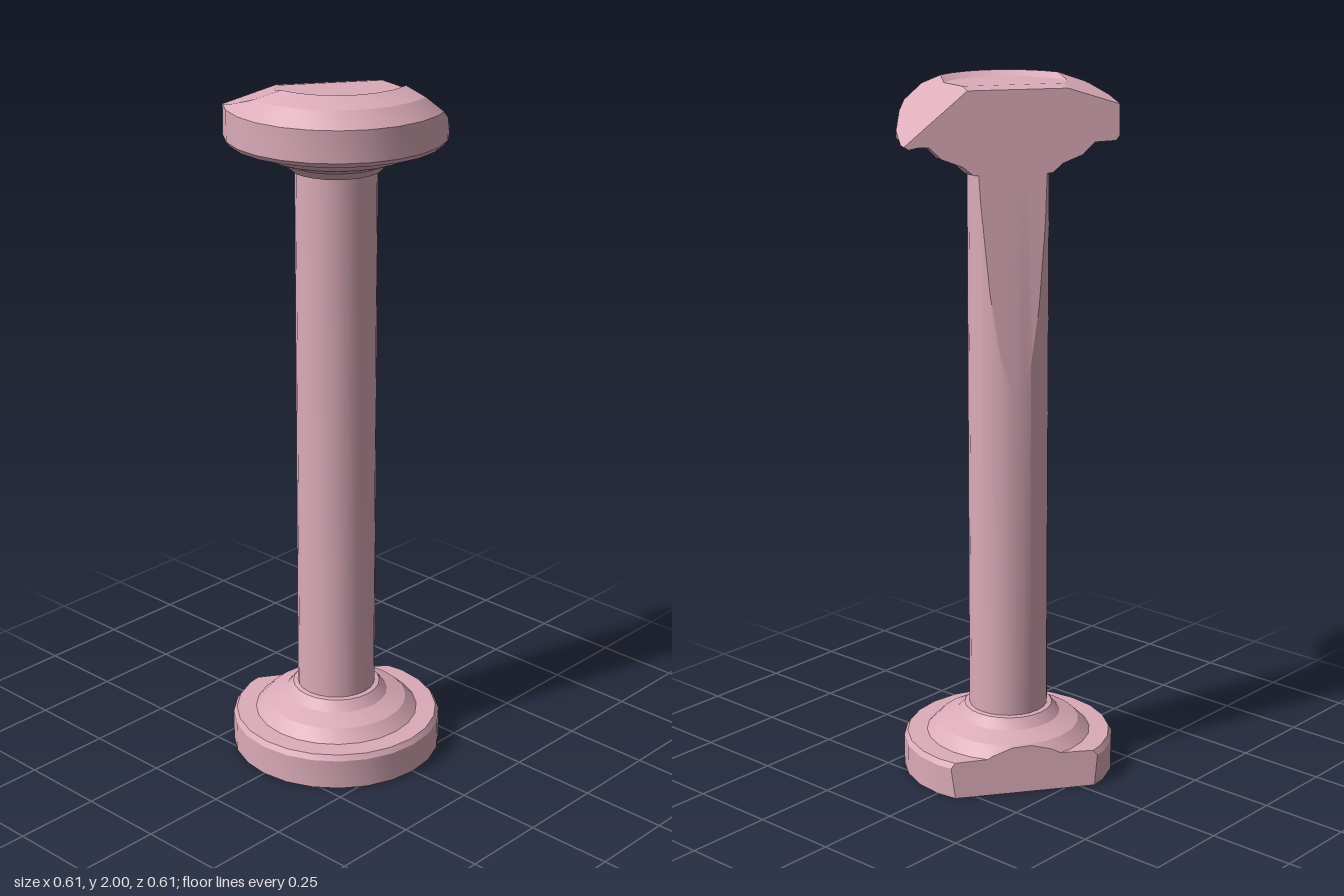
import * as THREE from 'three';
import { toCreasedNormals } from 'three/addons/utils/BufferGeometryUtils.js';

const V = (x, y, z) => new THREE.Vector3(x, y, z);
const UP = V(0, 1, 0);
const SIDE = V(-0.81, 0, -0.586).normalize(); // direction the broken side faces

// Cuts away everything in front of the plane: triangles are split along it
// and the outer pieces are pressed back onto it, which makes the cut face.
function cut(tris, plane, direction) {
  const out = [];
  const slope = plane.normal.dot(direction);
  const press = (p) => p.clone().addScaledVector(direction, -plane.distanceToPoint(p) / slope);
  for (const tri of tris) {
    const inner = [], outer = [];
    for (let i = 0; i < 3; i++) {
      const a = tri[i], b = tri[(i + 1) % 3];
      const da = plane.distanceToPoint(a), db = plane.distanceToPoint(b);
      if (da <= 0) inner.push(a);
      if (da >= 0) outer.push(press(a));
      if (da * db < 0) {
        const m = a.clone().lerp(b, da / (da - db));
        inner.push(m);
        outer.push(m);
      }
    }
    for (const poly of [inner, outer]) {
      for (let i = 1; i + 1 < poly.length; i++) {
        const t = [poly[0], poly[i], poly[i + 1]];
        if (new THREE.Triangle(...t).getArea() > 1e-8) out.push(t);
      }
    }
  }
  return out;
}

// Turned part with 24 sides, then broken by a list of cuts
function turned(name, profile, cuts, material) {
  const points = profile.map(([r, y]) => new THREE.Vector2(r, y));
  const p = new THREE.LatheGeometry(points, 24).toNonIndexed().attributes.position;
  let tris = [];
  for (let i = 0; i < p.count; i += 3) {
    const t = [0, 1, 2].map((k) => new THREE.Vector3().fromBufferAttribute(p, i + k));
    if (new THREE.Triangle(...t).getArea() > 1e-8) tris.push(t);
  }
  for (const [plane, direction] of cuts) tris = cut(tris, plane, direction);
  const geometry = new THREE.BufferGeometry().setFromPoints(tris.flat());
  const mesh = new THREE.Mesh(toCreasedNormals(geometry, 0.3), material);
  mesh.name = name;
  return mesh;
}

// Chip off the top, through three points
function chip(a, b, c) {
  const plane = new THREE.Plane().setFromCoplanarPoints(a, b, c);
  if (plane.normal.y < 0) plane.negate();
  return [plane, UP];
}

// Steep break on the side: offset d at height y, leaning inwards by lean per unit
function sideBreak(d, y, lean) {
  const normal = SIDE.clone().addScaledVector(UP, lean).normalize();
  const point = SIDE.clone().multiplyScalar(d).setY(y);
  return [new THREE.Plane().setFromNormalAndCoplanarPoint(normal, point), SIDE];
}

export function createModel() {
  const group = new THREE.Group();
  group.name = 'brokenColumn';
  const stone = new THREE.MeshStandardMaterial({ color: 0xdbabb9 });

  const baseBreak = sideBreak(0.224, 0, 0.12);
  const upperBreak = sideBreak(0.115, 1.12, 0.088);
  const chips = [
    chip(V(0.2, 2, -0.055), V(0.28, 1.93, -0.12), V(0.13, 1.84, -0.265)),
    chip(V(0, 2, 0.21), V(-0.215, 1.93, 0.215), V(-0.12, 1.98, 0.09)),
    chip(V(0.155, 2, -0.09), V(-0.035, 2, 0.18), V(-0.04, 1.975, -0.03)),
  ];

  // Stepped foot
  group.add(turned('base', [
    [0, 0], [0.305, 0], [0.305, 0.088], [0.295, 0.103], [0.238, 0.105],
    [0.205, 0.138], [0.15, 0.16], [0.127, 0.188], [0.113, 0.19],
  ], [baseBreak], stone));

  // Plain round shaft
  group.add(turned('shaft', [[0.113, 0.19], [0.113, 1.75]], [upperBreak], stone));

  // Capital: mouldings, rim, bevelled top with a shallow dish
  group.add(turned('capital', [
    [0.113, 1.75], [0.127, 1.752], [0.15, 1.775], [0.205, 1.797], [0.238, 1.83],
    [0.295, 1.832], [0.305, 1.845], [0.305, 1.932], [0.265, 1.975], [0.207, 2],
    [0.182, 1.985], [0, 1.985],
  ], [...chips, upperBreak], stone));

  return group;
}
